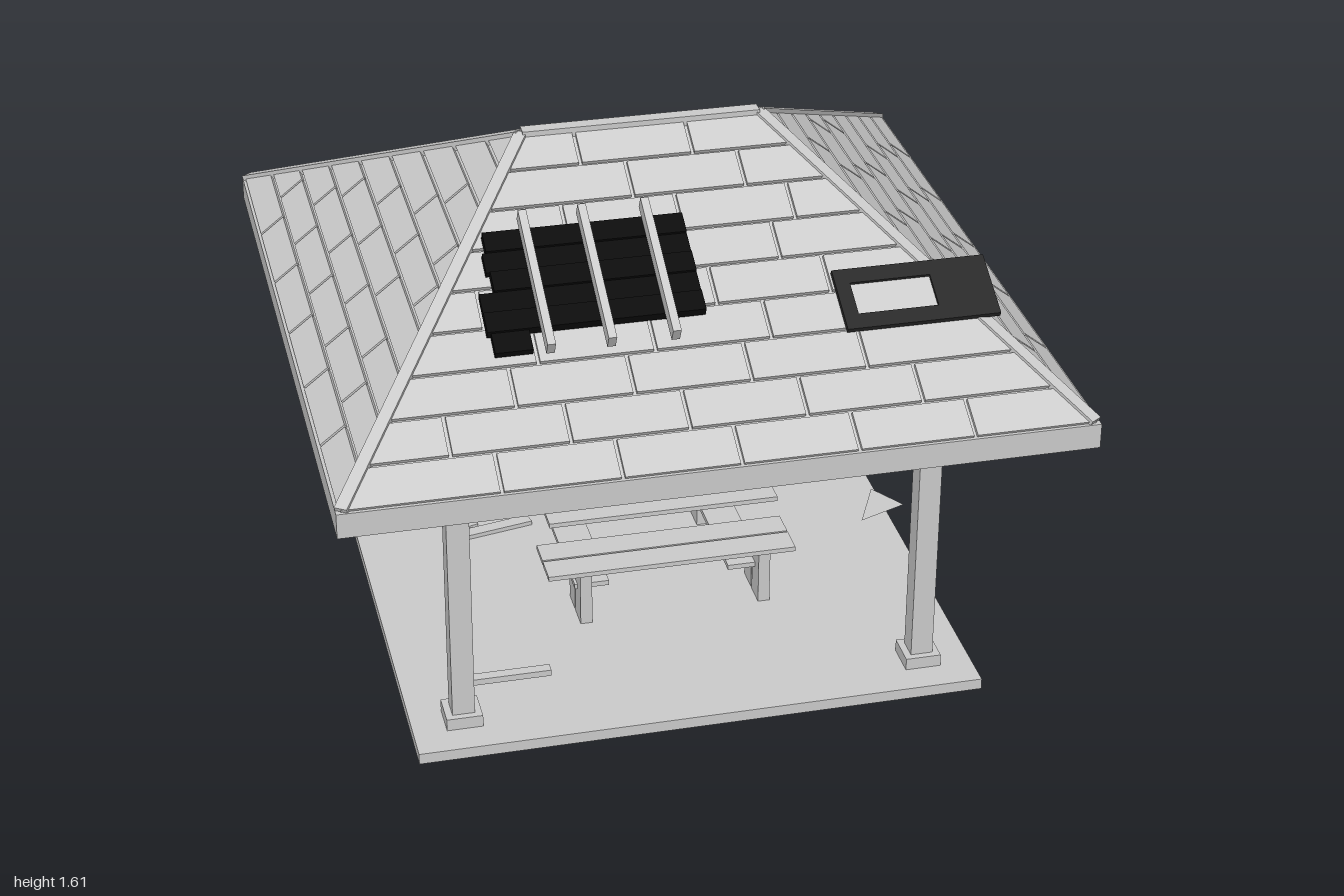
import * as THREE from 'three';

const grey = new THREE.MeshStandardMaterial({ color: 0xcccccc, flatShading: true });
const greyDouble = new THREE.MeshStandardMaterial({ color: 0xcccccc, flatShading: true, side: THREE.DoubleSide });
const dark = new THREE.MeshStandardMaterial({ color: 0x2a2a2a });
const black = new THREE.MeshStandardMaterial({ color: 0x0c0c0c });
const light = new THREE.MeshStandardMaterial({ color: 0xeeeeee });

function add(parent, name, geometry, material = grey) {
  const mesh = new THREE.Mesh(geometry, material);
  mesh.name = name;
  parent.add(mesh);
  return mesh;
}

// Box given by its limits on each axis
function box(parent, name, [x0, x1], [y0, y1], [z0, z1], material) {
  const mesh = add(parent, name, new THREE.BoxGeometry(x1 - x0, y1 - y0, z1 - z0), material);
  mesh.position.set((x0 + x1) / 2, (y0 + y1) / 2, (z0 + z1) / 2);
  return mesh;
}

// Square timber running between two points
function bar(parent, name, from, to, w, h) {
  const a = new THREE.Vector3(...from), b = new THREE.Vector3(...to);
  const mesh = add(parent, name, new THREE.BoxGeometry(w, h, a.distanceTo(b)));
  mesh.position.copy(a).add(b).multiplyScalar(0.5);
  mesh.lookAt(b);
  return mesh;
}

const shapeOf = pts => new THREE.Shape(pts.map(p => new THREE.Vector2(...p)));
const slab = (shape, depth) => new THREE.ExtrudeGeometry(shape, { depth, bevelEnabled: false });

const EAVE = 1.075, RIDGE = 1.595, HALF_X = 0.99, HALF_Z = 0.985, RIDGE_X = 0.33;

// One roof slope: local x runs along the eave, y up the slope, z outwards
function roofSlope(parent, name, angle, halfEave, halfTop, reach, topReach, skip) {
  const turn = new THREE.Group();
  turn.rotation.y = angle;
  parent.add(turn);
  const slope = new THREE.Group();
  slope.name = name;
  const run = reach - topReach, rise = RIDGE - EAVE, length = Math.hypot(run, rise);
  slope.position.set(0, EAVE, reach);
  slope.rotation.x = -Math.atan2(run, rise);
  turn.add(slope);

  add(slope, 'roofDeck', new THREE.ShapeGeometry(shapeOf(
    [[-halfEave, 0], [halfEave, 0], [halfTop, length], [-halfTop, length]])), greyDouble);

  // Staggered courses of shingles with narrow gaps
  const rows = 9, gap = 0.005;
  const half = t => halfEave + (halfTop - halfEave) * t / length;
  for (let r = 0; r < rows; r++) {
    const t0 = r * length / rows + gap, t1 = (r + 1) * length / rows - gap;
    const joints = [];
    for (let s = -1.2 + 0.16 * (r % 2) + 0.04 * (r % 3); s < 1.2; s += 0.31)
      if (Math.abs(s) < half(t1) - 0.05) joints.push(s);
    for (let i = 0; i <= joints.length; i++) {
      if (skip(r, i, joints.length)) continue;
      const first = i === 0, last = i === joints.length;
      const left = t => first ? -half(t) : joints[i - 1] + gap;
      const right = t => last ? half(t) : joints[i] - gap;
      add(slope, 'shingle', slab(shapeOf(
        [[left(t0), t0], [right(t0), t0], [right(t1), t1], [left(t1), t1]]), 0.011));
    }
  }
  return slope;
}

// Dark skylight frame with a pale pane
function skylight(slope, x, y, w, h, angle, paneX, paneW) {
  const group = new THREE.Group();
  group.name = 'skylight';
  const rect = (cx, pw, ph) => [[cx - pw / 2, -ph / 2], [cx + pw / 2, -ph / 2], [cx + pw / 2, ph / 2], [cx - pw / 2, ph / 2]];
  const frame = shapeOf(rect(0, w, h));
  frame.holes.push(new THREE.Path(rect(paneX, paneW, h * 0.52).map(p => new THREE.Vector2(...p))));
  add(group, 'skylightFrame', slab(frame, 0.015), dark);
  box(group, 'skylightPane', [paneX - paneW / 2, paneX + paneW / 2], [-h * 0.26, h * 0.26], [0, 0.006], light);
  group.position.set(x, y, 0.013);
  group.rotation.z = angle;
  slope.add(group);
}

function buildRoof(parent) {
  const roof = new THREE.Group();
  roof.name = 'roof';
  parent.add(roof);
  const none = () => false;
  const front = roofSlope(roof, 'frontSlope', 0, HALF_X, RIDGE_X, HALF_Z, 0, none);
  // The back has lost shingles near one corner
  const back = roofSlope(roof, 'backSlope', Math.PI, HALF_X, RIDGE_X, HALF_Z, 0, (r, i, n) => r < 3 && i > n - 3 + r);
  roofSlope(roof, 'leftSlope', Math.PI / 2, HALF_Z, 0, HALF_X, RIDGE_X, none);
  roofSlope(roof, 'rightSlope', -Math.PI / 2, HALF_Z, 0, HALF_X, RIDGE_X, none);
  skylight(front, 0.61, 0.455, 0.42, 0.19, 0, -0.06, 0.22);
  skylight(back, -0.17, 0.455, 0.34, 0.21, 0.06, -0.04, 0.17);

  // Black panels with uneven ends, held by three rails
  const ends = [-0.53, -0.54, -0.54, -0.5, -0.51, -0.5];
  ends.forEach((x, i) => {
    const y = 0.4 + i * 0.063;
    box(front, 'solarPanel', [x, i === 0 ? -0.43 : 0.04], [y, y + 0.062], [0.015, 0.035 + 0.006 * (i % 2)], black);
  });
  for (const x of [-0.39, -0.23, -0.06])
    box(front, 'panelRail', [x - 0.011, x + 0.011], [0.38, 0.81], [0.04, 0.08]);

  // Fascia boards, ridge cap, hips and rafters
  for (const s of [-1, 1]) {
    box(roof, 'fascia', [-1, 1], [1.01, 1.08], [s * 0.98 - 0.012, s * 0.98 + 0.012]);
    box(roof, 'fascia', [s * 0.988 - 0.012, s * 0.988 + 0.012], [1.01, 1.08], [-0.968, 0.968]);
    bar(roof, 'commonRafter', [s * 0.33, 1.56, 0], [s * 0.97, 1.04, 0], 0.03, 0.04);
    bar(roof, 'commonRafter', [0, 1.56, 0], [0, 1.04, s * 0.96], 0.03, 0.04);
    for (const t of [-1, 1]) {
      bar(roof, 'hipCap', [s * 0.33, 1.597, 0], [s * 0.985, 1.08, t * 0.98], 0.035, 0.025);
      bar(roof, 'hipRafter', [s * 0.33, 1.55, 0], [s * 0.965, 1.005, t * 0.955], 0.03, 0.045);
    }
  }
  box(roof, 'ridgeCap', [-0.33, 0.33], [1.585, 1.612], [-0.02, 0.02]);
  bar(roof, 'brokenRafterTail', [0.87, 0.995, -0.86], [0.965, 0.935, -0.965], 0.025, 0.03);
}

function buildFrame(parent) {
  const frame = new THREE.Group();
  frame.name = 'frame';
  parent.add(frame);
  for (const s of [-1, 1]) {
    box(frame, 'longBeam', [-0.72, 0.72], [0.945, 1.01], [s * 0.65 - 0.018, s * 0.65 + 0.018]);
    box(frame, 'crossBeam', [s * 0.65 - 0.02, s * 0.65 + 0.02], [1.01, 1.07], [-0.72, 0.72]);
    for (const t of [-1, 1]) {
      const x = s * 0.648, z = t * 0.65;
      box(frame, 'post', [x - 0.031, x + 0.031], [0.18, 1.03], [z - 0.031, z + 0.031]);
      box(frame, 'postFoot', [x - 0.05, x + 0.05], [0.175, 0.212], [z - 0.05, z + 0.05]);
      const gusset = add(frame, 'gusset', slab(shapeOf([[-0.05, 0], [0, -0.052], [0.05, 0]]), 0.03));
      gusset.position.set(s * 0.567, 0.947, z - 0.015);
    }
  }
}

function buildTable(parent) {
  const table = new THREE.Group();
  table.name = 'picnicTable';
  parent.add(table);
  for (let i = 0; i < 4; i++) {
    const z = -0.215 + i * 0.0935;
    box(table, 'tablePlank', [-0.31 + 0.01 * (i % 2), 0.37], [0.433, 0.447], [z, z + 0.086]);
  }
  for (const x of [-0.195, 0.255]) {
    box(table, 'tableBatten', [x - 0.03, x + 0.03], [0.415, 0.433], [-0.18, 0.1]);
    box(table, 'legBrace', [x - 0.05, x + 0.05], [0.27, 0.285], [-0.29, 0.23]);
  }
  const benches = [[0.195, [-0.22, 0.302]], [-0.25, [-0.15, 0.23]]];
  for (const [z, legs] of benches) for (const s of [-1, 1]) {
    const c = z + s * 0.045;
    box(table, 'benchPlank', [-0.33, 0.39], [0.34, 0.354], [c - 0.042, c + 0.042]);
    for (const x of legs)
      box(table, 'benchLeg', [x - 0.017, x + 0.017], [0.175, 0.34], [z + s * 0.04 - 0.036, z + s * 0.04 + 0.036]);
  }
}

function buildDebris(parent) {
  const debris = new THREE.Group();
  debris.name = 'debris';
  parent.add(debris);
  box(debris, 'leaningPlank', [-0.62, -0.4], [0.285, 0.303], [0.63, 0.66]);
  box(debris, 'fallenPlank', [-0.52, -0.27], [0.175, 0.19], [-0.3, -0.26]).rotation.y = 0.2;
  box(debris, 'fallenPlank', [-0.5, -0.45], [0.175, 0.187], [-0.46, -0.3]).rotation.y = 0.3;
  const shard = add(debris, 'floorShard', new THREE.ShapeGeometry(shapeOf([[0.7, 0.08], [0.85, 0.14], [0.78, 0.25]])), greyDouble);
  shard.rotation.x = -Math.PI / 2;
  shard.position.y = 0.181;
  // Ragged sheet standing at the back corner
  const sheet = add(debris, 'raggedSheet', new THREE.ShapeGeometry(shapeOf([
    [0.45, 0.25], [0.6, 0.29], [0.68, 0.32], [0.845, 0.185], [0.68, 0.015],
    [0.635, 0.035], [0.585, 0], [0.56, 0.05], [0.535, 0.04], [0.49, 0.18]])), greyDouble);
  sheet.rotation.y = Math.PI / 2;
  sheet.position.x = -0.685;
}

export function createModel() {
  const model = new THREE.Group();
  model.name = 'picnicShelter';
  box(model, 'floorSlab', [-0.79, 0.79], [0.145, 0.177], [-0.79, 0.79]);
  buildFrame(model);
  buildRoof(model);
  buildTable(model);
  buildDebris(model);
  return model;
}
